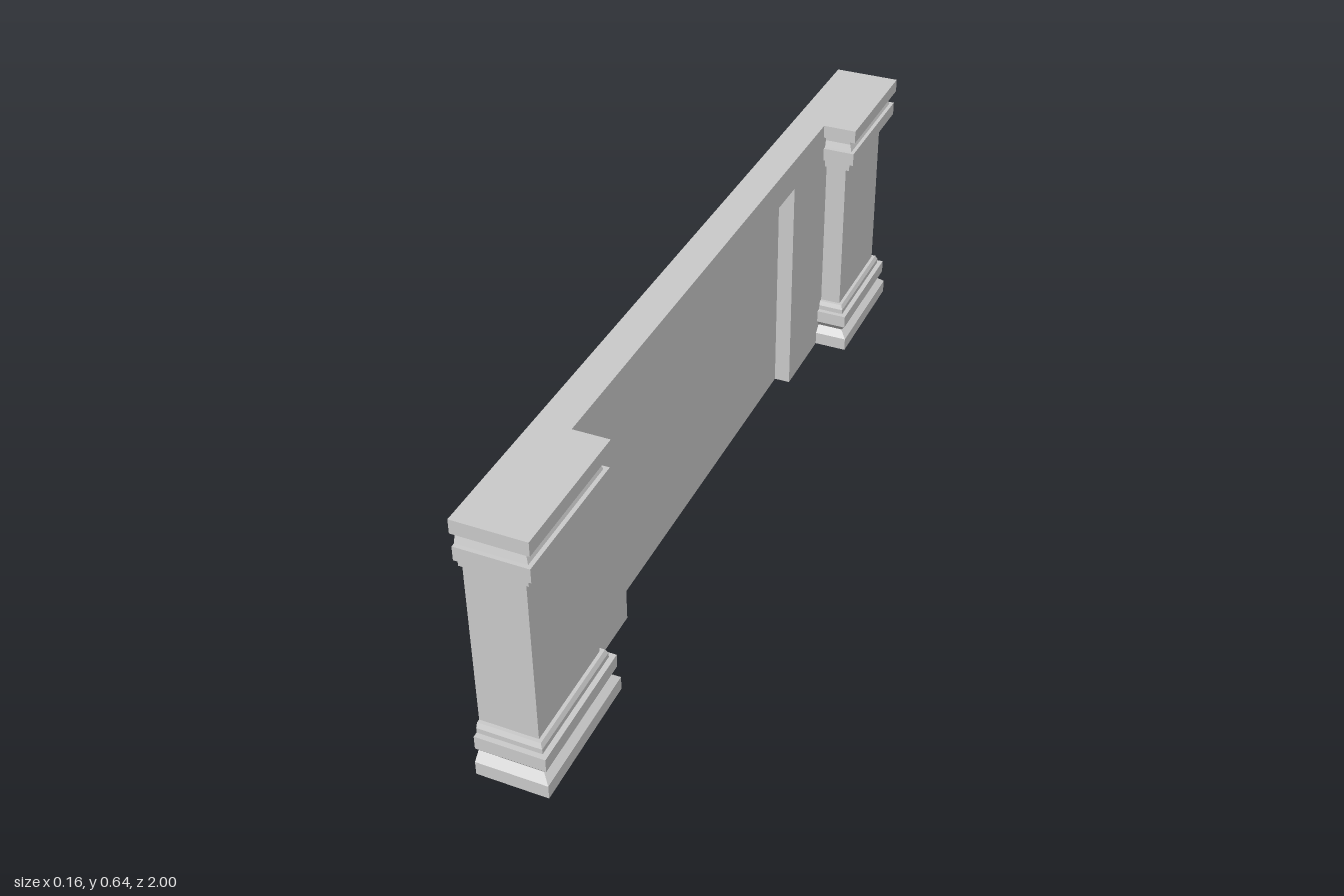
import * as THREE from 'three';

const BACK = -0.08, WALL_FRONT = -0.001, RECESS = -0.04, TOP = 0.641;

// Pilaster moulding: [height, front x]; the sides step in by the same amount
const PROFILE = [
  [0, 0.08], [0.033, 0.08], [0.05, 0.063], [0.066, 0.075], [0.098, 0.075],
  [0.098, 0.063], [0.11, 0.063], [0.121, 0.058], [0.121, 0.05],
  [0.521, 0.05], [0.521, 0.063], [0.545, 0.063], [0.545, 0.077], [0.577, 0.077],
  [0.577, 0.068], [0.594, 0.063], [0.609, 0.063], [0.609, 0.08], [TOP, 0.08],
];

// Stack of mitred rectangles, flat against the back plane
function pilasterGeometry() {
  const rings = PROFILE.map(([y, x]) => {
    const h = 0.16 - (0.08 - x);
    return [[BACK, y, h], [x, y, h], [x, y, -h], [BACK, y, -h]];
  });
  const pos = [];
  const quad = (a, b, c, d) => pos.push(...a, ...b, ...c, ...a, ...c, ...d);
  for (let r = 0; r < rings.length - 1; r++) {
    const lo = rings[r], up = rings[r + 1];
    for (let i = 0; i < 4; i++) {
      const j = (i + 1) % 4;
      quad(lo[i], lo[j], up[j], up[i]);
    }
  }
  const [a, b, c, d] = rings[0];
  quad(a, d, c, b);
  quad(...rings[rings.length - 1]);
  const g = new THREE.BufferGeometry();
  g.setAttribute('position', new THREE.Float32BufferAttribute(pos, 3));
  g.computeVertexNormals();
  return g;
}

export function createModel() {
  const group = new THREE.Group();
  const material = new THREE.MeshStandardMaterial({ color: 0xcccccc, flatShading: true });
  const add = (name, geometry) => {
    const mesh = new THREE.Mesh(geometry, material);
    mesh.name = name;
    group.add(mesh);
    return mesh;
  };

  // Back slab, forming the floor of the recess
  add('backPanel', new THREE.BoxGeometry(RECESS - BACK, TOP, 1.42))
    .position.set((BACK + RECESS) / 2, TOP / 2, 0);

  // Front frame around the recess, which is open at the bottom
  const frame = new THREE.Shape([
    [-0.71, 0], [-0.483, 0], [-0.483, 0.565], [0.483, 0.565],
    [0.483, 0], [0.71, 0], [0.71, TOP], [-0.71, TOP],
  ].map(([x, y]) => new THREE.Vector2(x, y)));
  const frameGeometry = new THREE.ExtrudeGeometry(frame, { depth: WALL_FRONT - RECESS, bevelEnabled: false });
  add('frontFrame', frameGeometry.rotateY(Math.PI / 2)).position.x = RECESS;

  // Moulded pilaster at each end
  const pilaster = pilasterGeometry();
  add('leftEndPilaster', pilaster).position.z = 0.84;
  add('rightEndPilaster', pilaster).position.z = -0.84;

  return group;
}
